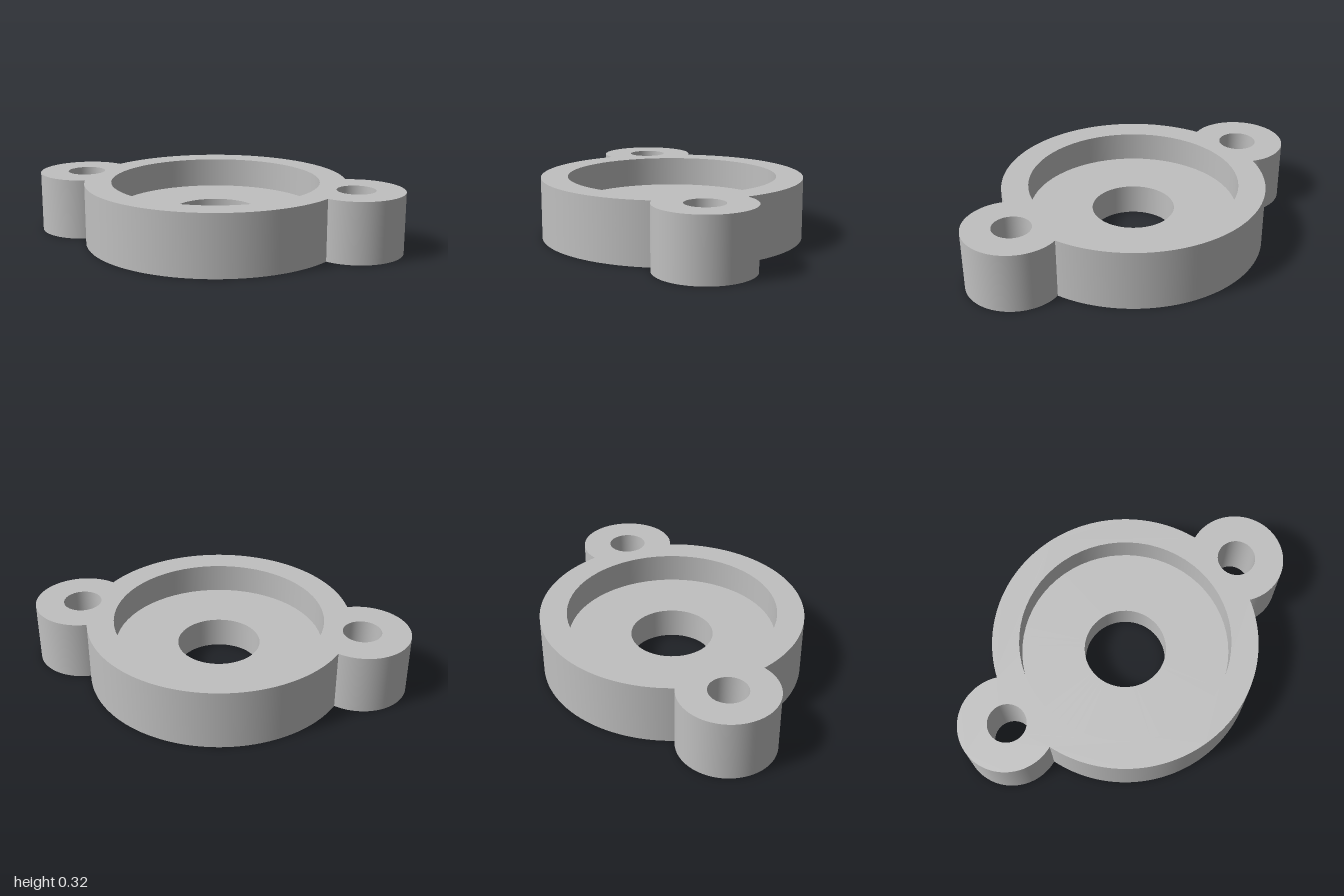
import * as THREE from 'three';

const H = 0.32, FLOOR = 0.163;            // overall height, recess floor
const R = 0.69, RECESS = 0.55, BORE = 0.217;
const EAR_X = 0.75, EAR_R = 0.25, EAR_HOLE = 0.1;
const SEG = 64;

// where the ear circles meet the disc
const mx = (R * R - EAR_R * EAR_R + EAR_X * EAR_X) / (2 * EAR_X);
const mz = Math.sqrt(R * R - mx * mx);
const discAngle = Math.atan2(mz, mx);
const earAngle = Math.atan2(mz, mx - EAR_X);

export function createModel() {
  const group = new THREE.Group();
  const metal = new THREE.MeshStandardMaterial({ color: 0xc0c0c0 });
  metal.name = 'grey metal';

  const add = (name, geometry, x = 0, y = 0) => {
    const mesh = new THREE.Mesh(geometry, metal);
    mesh.name = name;
    mesh.position.set(x, y, 0);
    group.add(mesh);
  };

  // one turned face from (r0, y0) to (r1, y1); upward faces out, downward faces in
  const turned = (r0, y0, r1, y1, start = 0, length = Math.PI * 2) =>
    new THREE.LatheGeometry([new THREE.Vector2(r0, y0), new THREE.Vector2(r1, y1)], SEG, start, length);

  // flat face with the eared outline and a centre hole
  const cap = (centreHole, turn) => {
    const s = new THREE.Shape();
    s.absarc(EAR_X, 0, EAR_R, -earAngle, earAngle);
    s.absarc(0, 0, R, discAngle, Math.PI - discAngle);
    s.absarc(-EAR_X, 0, EAR_R, Math.PI - earAngle, Math.PI + earAngle);
    s.absarc(0, 0, R, Math.PI + discAngle, 2 * Math.PI - discAngle);
    for (const [x, r] of [[0, centreHole], [EAR_X, EAR_HOLE], [-EAR_X, EAR_HOLE]]) {
      s.holes.push(new THREE.Path().absarc(x, 0, r, 0, Math.PI * 2, true));
    }
    return new THREE.ShapeGeometry(s, SEG / 2).rotateX(turn);
  };

  add('topFace', cap(RECESS, -Math.PI / 2), 0, H);
  add('bottomFace', cap(BORE, Math.PI / 2));

  // recess and central bore
  add('recessWall', turned(RECESS, H, RECESS, FLOOR));
  add('recessFloor', turned(RECESS, FLOOR, BORE, FLOOR));
  add('centreBore', turned(BORE, FLOOR, BORE, 0));

  // outer disc walls, front and back
  const half = Math.PI / 2 - discAngle;
  add('frontWall', turned(R, 0, R, H, -half, 2 * half));
  add('backWall', turned(R, 0, R, H, Math.PI - half, 2 * half));

  // mounting ears with bolt holes
  for (const [side, sign] of [['left', 1], ['right', -1]]) {
    add(side + 'EarWall', turned(EAR_R, 0, EAR_R, H, sign * Math.PI / 2 - earAngle, 2 * earAngle), sign * EAR_X);
    add(side + 'BoltHole', turned(EAR_HOLE, H, EAR_HOLE, 0), sign * EAR_X);
  }
  return group;
}
